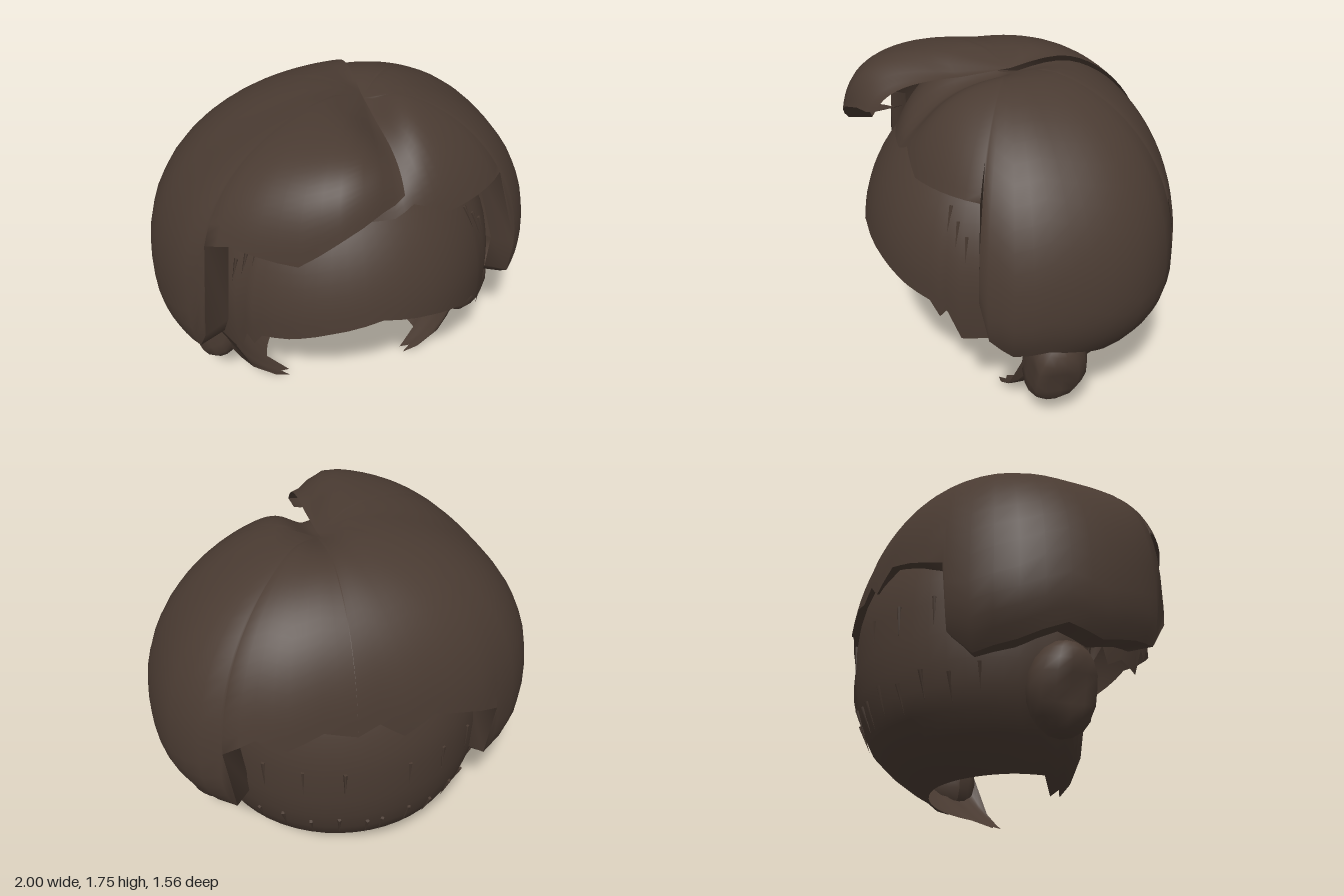
import * as THREE from 'three';
import { mergeGeometries, mergeVertices } from 'three/addons/utils/BufferGeometryUtils.js';

const RAD = Math.PI / 180;
const hair = new THREE.MeshStandardMaterial({ color: 0x4a3b32, side: THREE.DoubleSide });

// Outline of each layer: a rounded dome around (cx, cy). Half-sizes rx, up, down, front, back;
// plan roundness nFront, nBack; profile roundness m above (eased at the sides, puffed in front) and low below
const SCALP = { cx: 0, cy: 0.8, rx: 0.78, up: 0.8, down: 0.84, front: 0.745, back: 0.775, nFront: 2, nBack: 2,
  m: 2, ease: 0, puff: 0, low: 2.4, part: 0, tuck: 0, sway: 0.12 };
const RIGHT = { cx: 0.1, cy: 0.85, rx: 1.1, up: 0.92, down: 0.62, front: 0.85, back: 0.76, nFront: 2, nBack: 2.3,
  m: 2.5, ease: 0.25, puff: 3, low: 2.4, part: 0.09, tuck: 0.13, sway: 0 };
const LEFT = { ...RIGHT, rx: 0.9, up: 0.895, front: 0.63, nBack: 2.6, ease: 0.45, puff: 0, low: 2.1, tuck: 0 };

const profile = (d, a, below) =>
  below ? d.low : d.m - d.ease * Math.sin(a * RAD) ** 2 + d.puff * Math.max(0, Math.cos(a * RAD)) ** 2;

// Point of a dome at azimuth a (0 = front, 90 = +x) and polar angle phi from the top
function domePoint(d, a, phi, inset = 0) {
  const s = Math.sin(a * RAD), c = Math.cos(a * RAD), cp = Math.cos(phi);
  const rz = c > 0 ? d.front : d.back, n = c > 0 ? d.nFront : d.nBack;
  const reach = (Math.abs(s / d.rx) ** n + Math.abs(c / rz) ** n) ** (-1 / n) * (1 - d.tuck * Math.exp(-((a / 13) ** 2)));
  const m = profile(d, a, cp < 0);
  const r = reach * Math.abs(Math.sin(phi)) ** (2 / m) - inset;
  const p = new THREE.Vector3(d.cx + r * s, d.cy + (cp > 0 ? d.up : -d.down) * Math.abs(cp) ** (2 / m), r * c);
  // groove along the parting, fading out behind the crown
  const fade = THREE.MathUtils.smoothstep(p.z, -0.35, 0.15) * THREE.MathUtils.smoothstep(p.y, 1.3, 1.6);
  p.y -= d.part * fade * Math.exp(-(((p.x - d.cx) / 0.11) ** 2));
  // nape tips swing forward
  p.z += d.sway * (1 - THREE.MathUtils.smoothstep(p.y, 0, 0.35));
  return p;
}

// Polar angle at which the dome reaches height y
function phiAt(d, a, y) {
  const h = (y - d.cy) / (y > d.cy ? d.up : d.down);
  return Math.acos(THREE.MathUtils.clamp(Math.sign(h) * Math.abs(h) ** (profile(d, a, h < 0) / 2), -1, 1));
}

// Smooth surface through columns of points
function skin(columns) {
  const pos = [], idx = [], rows = columns[0].length;
  columns.forEach((col) => col.forEach((p) => pos.push(p.x, p.y, p.z)));
  for (let i = 0; i < columns.length - 1; i++) {
    for (let j = 0; j < rows - 1; j++) {
      const k = i * rows + j;
      idx.push(k, k + 1, k + rows, k + 1, k + rows + 1, k + rows);
    }
  }
  let g = new THREE.BufferGeometry();
  g.setAttribute('position', new THREE.Float32BufferAttribute(pos, 3));
  g.setIndex(idx);
  g = mergeVertices(g, 1e-4);
  g.computeVertexNormals();
  return g;
}

// Layer of hair hanging from the crown to a ragged hem of [azimuth, height] pairs
function layer(name, d, hem, lip) {
  const edge = [];
  hem.forEach(([a, y], i) => {
    edge.push([a, y]);
    if (i === hem.length - 1) return;
    const [a2, y2] = hem[i + 1], n = Math.ceil((a2 - a) / 7);
    for (let k = 1; k < n; k++) edge.push([a + ((a2 - a) * k) / n, y + ((y2 - y) * k) / n]);
  });
  const rows = 18;
  const parts = [skin(edge.map(([a, y]) => {
    const end = phiAt(d, a, y);
    return Array.from({ length: rows + 1 }, (_, j) => domePoint(d, a, (end * j) / rows));
  }))];
  // turned-in rim that gives the layer its thickness
  if (lip) {
    parts.push(skin(edge.map(([a, y]) => {
      const end = phiAt(d, a, y), inner = domePoint(d, a, end, lip);
      inner.y += 0.02;
      return [domePoint(d, a, end), inner];
    })));
  }
  const mesh = new THREE.Mesh(mergeGeometries(parts), hair);
  mesh.name = name;
  return mesh;
}

// Cupped lock of hair over the ear, cut flat at the front
function earLock(side) {
  const g = new THREE.SphereGeometry(1, 14, 10);
  const p = g.attributes.position;
  for (let i = 0; i < p.count; i++) {
    const x = p.getX(i), y = p.getY(i), z = p.getZ(i);
    const dent = x > 0 ? 0.4 * Math.exp(-(y * y + (z - 0.2) ** 2) / 0.25) : 0;
    p.setXYZ(i, (x - dent) * 0.15, y * 0.22, Math.min(z, 0.75) * 0.17);
  }
  g.computeVertexNormals();
  const mesh = new THREE.Mesh(g, hair);
  mesh.rotation.set(0, 0.15, -0.3);
  mesh.position.set(0.74, 0.375, -0.04);
  const group = new THREE.Group();
  group.name = side > 0 ? 'leftEarLock' : 'rightEarLock';
  group.scale.x = side;
  group.add(mesh);
  return group;
}

// Thin loose strand lying on the scalp layer and pointing down
function strand(a, y, length) {
  const mesh = new THREE.Mesh(new THREE.ConeGeometry(0.011, length, 4), hair);
  const phi = phiAt(SCALP, a, y);
  const top = domePoint(SCALP, a, phi - 0.08), low = domePoint(SCALP, a, phi + 0.08);
  mesh.position.copy(domePoint(SCALP, a, phi));
  mesh.quaternion.setFromUnitVectors(new THREE.Vector3(0, 1, 0), low.sub(top).normalize());
  mesh.name = 'looseStrand';
  return mesh;
}

export function createModel() {
  const model = new THREE.Group();
  model.name = 'hair';

  // Under-layer: fringe over the forehead, open face, nape at the back
  const half = [[0, 0.9], [20, 0.84], [35, 0.78], [46, 0.75], [50, 0.67], [53, 0.72], [58, 0.56], [68, 0.59],
    [75, 0.54], [78, 0.62], [83, 0.5], [84, 0.14], [86, 0.05], [88, 0.01], [92, 0.03], [96, 0.01], [103, 0.07],
    [120, 0.075], [180, 0.08]];
  const mirrored = half.slice(1).reverse().map(([a, y]) => [-a, y]);
  model.add(layer('scalpHair', SCALP, [...mirrored, ...half], 0));

  // Right sweep with the raised quiff, side panel and back
  model.add(layer('rightSweep', RIGHT, [[-180, 1.05], [-172, 1.1], [-163, 1.0], [-152, 1.08], [-141, 1.02],
    [-128, 0.93], [-127, 0.6], [-120, 0.5], [-108, 0.53], [-96, 0.6], [-86, 0.56], [-76, 0.6], [-68, 0.62],
    [-63, 0.76], [-62, 1.3], [-54, 1.35], [-46, 1.34], [-34, 1.32], [-23, 1.44], [-9, 1.56], [0, 1.64]], 0.14));

  // Left sweep, running under the quiff
  model.add(layer('leftSweep', LEFT, [[-40, 1.33], [-20, 1.35], [0, 1.36], [10, 1.41], [27, 1.32], [45, 1.33],
    [63, 1.34], [64, 0.9], [67, 0.68], [75, 0.58], [86, 0.64], [98, 0.58], [115, 0.47], [128, 0.5], [135, 0.55],
    [136, 0.98], [146, 1.08], [156, 1.02], [168, 1.1], [180, 1.05]], 0.12));

  // Ear locks and loose strands
  const strands = new THREE.Group();
  strands.name = 'looseStrands';
  for (const side of [1, -1]) {
    model.add(earLock(side));
    for (let i = 0; i < 6; i++) strands.add(strand(side * (122 + i * 11), 0.42 - 0.03 * (i % 2), 0.15));
    for (let i = 0; i < 3; i++) strands.add(strand(side * (138 + i * 15), 0.75, 0.16));
    for (let i = 0; i < 3; i++) strands.add(strand(side * (52 + i * 4), 1.17 - i * 0.06, 0.13));
  }
  model.add(strands);
  return model;
}
